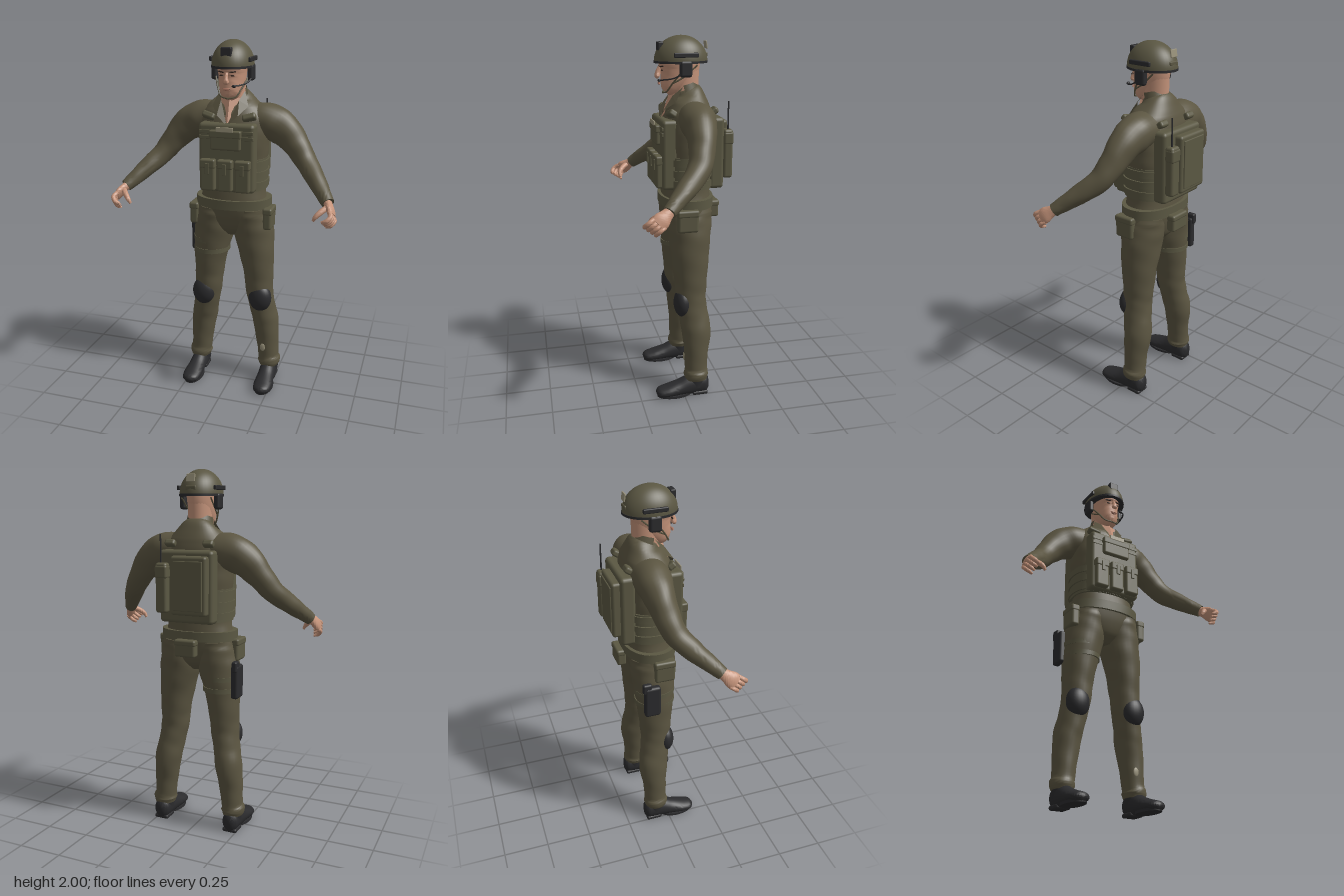
import * as THREE from 'three';
import { toCreasedNormals } from 'three/addons/utils/BufferGeometryUtils.js';
import { RoundedBoxGeometry } from 'three/addons/geometries/RoundedBoxGeometry.js';

const mat = (name, color, side = THREE.FrontSide) =>
  Object.assign(new THREE.MeshStandardMaterial({ color, side }), { name });
const V = (x, y, z) => new THREE.Vector3(x, y, z);

// Smooth skin over elliptical sections [x, y, z, ru, rv] strung along a path.
// ref sets the direction of ru, p < 1 squares the section, w adds cloth folds.
function loft(pts, { seg = 28, steps = 6, ref = V(1, 0, 0), p = 1, w = 0 } = {}) {
  const path = new THREE.CatmullRomCurve3(pts.map(q => V(q[0], q[1], q[2])));
  const radii = new THREE.CatmullRomCurve3(pts.map(q => V(q[3], q[4], 0)), false, 'catmullrom', 0.5);
  const n = pts.length > 2 ? (pts.length - 1) * steps : 1;
  const pos = [], index = [];
  const pw = c => Math.sign(c) * Math.abs(c) ** p;
  for (let i = 0; i <= n; i++) {
    const c = path.getPoint(i / n), r = radii.getPoint(i / n), t = path.getTangent(i / n);
    const u = ref.clone().addScaledVector(t, -ref.dot(t)).normalize();
    const v = t.clone().cross(u);
    for (let j = 0; j < seg; j++) {
      const a = j / seg * Math.PI * 2;
      const k = 1 + w * (Math.sin(2 * a + i * 1.1) + Math.sin(3 * a - i * 0.7));
      const q = c.clone().addScaledVector(u, r.x * k * pw(Math.cos(a))).addScaledVector(v, r.y * k * pw(Math.sin(a)));
      pos.push(q.x, q.y, q.z);
      if (i < n) {
        const A = i * seg + j, B = i * seg + (j + 1) % seg;
        index.push(A, B, B + seg, A, B + seg, A + seg);
      }
    }
  }
  for (const [i, end] of [[0, false], [n, true]]) {
    const c = path.getPoint(i / n), m = pos.length / 3;
    pos.push(c.x, c.y, c.z);
    for (let j = 0; j < seg; j++) {
      const A = i * seg + j, B = i * seg + (j + 1) % seg;
      if (end) index.push(m, A, B); else index.push(m, B, A);
    }
  }
  const g = new THREE.BufferGeometry();
  g.setAttribute('position', new THREE.Float32BufferAttribute(pos, 3));
  g.setIndex(index);
  return toCreasedNormals(g, 1.0);
}

export function createModel() {
  const root = new THREE.Group();
  root.name = 'soldier';
  const cloth = mat('olive cloth', 0x5b5541, THREE.DoubleSide);
  const gear = mat('olive gear', 0x5b5843);
  const helmetMat = mat('helmet olive', 0x5a5642);
  const black = mat('black', 0x2b2b2d);
  const skin = mat('skin', 0xc4937a, THREE.DoubleSide);
  const lip = mat('lips', 0xa87562);
  const hair = mat('dark brown', 0x33261f);
  const tan = mat('tan patch', 0x98917a);

  const add = (name, geo, m, x = 0, y = 0, z = 0) => {
    const mesh = new THREE.Mesh(geo, m);
    mesh.name = name;
    mesh.position.set(x, y, z);
    root.add(mesh);
    return mesh;
  };
  const box = (name, m, w, h, d, x, y, z, r = 0.012) =>
    add(name, new RoundedBoxGeometry(w, h, d, 2, Math.min(r, w / 2.1, h / 2.1, d / 2.1)), m, x, y, z);
  const ball = (name, m, rx, ry, rz, x, y, z) =>
    add(name, new THREE.SphereGeometry(1, 24, 16), m, x, y, z).scale.set(rx, ry, rz);
  const cord = (name, m, r, ...pts) =>
    add(name, new THREE.TubeGeometry(new THREE.CatmullRomCurve3(pts.map(q => V(...q))), 16, r, 6), m);
  const band = (name, m, y0, y1, rx, rz, x = 0, z = -0.055, p = 1) =>
    add(name, loft([[x, y0, z, rx, rz], [x, y1, z, rx, rz]], { p, seg: 40 }), m);

  // Shirt and pelvis
  add('shirt', loft([[0, 1.1, -.055, .195, .135], [0, 1.2, -.055, .178, .128], [0, 1.3, -.06, .178, .13],
    [0, 1.4, -.06, .188, .14], [0, 1.5, -.06, .196, .14], [0, 1.58, -.065, .194, .13],
    [0, 1.64, -.07, .165, .112], [0, 1.69, -.07, .11, .085], [0, 1.725, -.06, .068, .066]], { p: .9, w: .004, seg: 40 }), cloth);
  add('hips', loft([[0, 1.12, -.055, .205, .138], [0, 1.04, -.055, .205, .124], [0, .97, -.055, .14, .1],
    [0, .925, -.055, .05, .06]], { p: .9 }), cloth);
  const collar = add('collar', new THREE.CylinderGeometry(.069, .082, .07, 24, 1, true, Math.PI * .42, Math.PI * 1.16), cloth, 0, 1.715, -.055);
  collar.rotation.x = 0.25;

  // Open neck and lapels
  const flat = (name, m, pts, tris) => {
    const g = new THREE.BufferGeometry();
    g.setAttribute('position', new THREE.Float32BufferAttribute(pts.flat(), 3));
    g.setIndex(tris);
    add(name, g.toNonIndexed(), m).geometry.computeVertexNormals();
  };
  flat('openChest', skin, [[-.06, 1.7, .002], [0, 1.56, .083], [.06, 1.7, .002], [0, 1.7, .034]], [0, 1, 3, 1, 2, 3]);
  add('neck', loft([[0, 1.58, -.055, .065, .07], [0, 1.7, -.052, .063, .073], [0, 1.84, -.05, .064, .08]]), skin);

  // Head
  add('head', loft([[0, 1.706, .052, .026, .03], [0, 1.722, .038, .048, .052], [0, 1.75, .016, .06, .076],
    [0, 1.785, -.006, .068, .096], [0, 1.825, -.02, .073, .108], [0, 1.87, -.022, .077, .112], [0, 1.93, -.025, .068, .1]]), skin);
  add('nose', loft([[0, 1.838, .084, .008, .01], [0, 1.81, .094, .01, .014], [0, 1.79, .096, .017, .015], [0, 1.783, .09, .01, .008]]), skin);
  ball('upperLip', lip, .022, .004, .006, 0, 1.757, .089);
  ball('lowerLip', lip, .018, .004, .006, 0, 1.75, .088);

  // Helmet
  const dome = add('helmet', new THREE.SphereGeometry(1, 40, 16, 0, Math.PI * 2, 0, Math.PI / 2), helmetMat, 0, 1.868, -.03);
  dome.scale.set(.112, .132, .143);
  band('helmetRim', black, 1.858, 1.87, .114, .145, 0, -.03);
  box('frontMount', black, .058, .048, .03, 0, 1.943, .083, .006);
  box('rearPlate', tan, .05, .04, .008, 0, 1.95, -.165, .003).rotation.x = .15;
  box('rearClip', helmetMat, .06, .022, .02, 0, 1.9, -.16, .006);
  cord('microphoneBoom', black, .004, [.11, 1.81, -.02], [.095, 1.785, .03], [.07, 1.776, .08], [.045, 1.773, .095]);
  ball('microphone', black, .012, .008, .008, .043, 1.772, .096);

  // Vest, front
  box('frontPlate', gear, .31, .375, .085, 0, 1.388, .06, .02);
  box('adminPouch', gear, .17, .1, .04, 0, 1.485, .104);
  box('adminFlap', gear, .176, .04, .04, 0, 1.522, .107, .008);
  box('namePatch', tan, .095, .026, .008, 0, 1.548, .125, .003);
  for (const y of [1.5, 1.53]) box('webbing', gear, .3, .02, .01, 0, y, .1, .003);
  for (const x of [-.097, 0, .097]) {
    box('magazinePouch', gear, .082, .17, .045, x, 1.295, .11);
    box('magazineFlap', gear, .086, .05, .046, x, 1.36, .113, .01);
    box('pouchTab', gear, .022, .06, .008, x, 1.335, .137, .003);
  }

  // Vest, sides and back
  band('cummerbund', gear, 1.2, 1.375, .187, .147, 0, -.06, .85);
  for (const y of [1.215, 1.272, 1.33]) band('sideStrap', gear, y, y + .036, .195, .152, 0, -.06, .85);
  box('backPlate', gear, .31, .385, .08, 0, 1.39, -.195, .02);
  box('backPack', gear, .205, .31, .055, -.033, 1.4, -.25, .015);
  box('backPackPanel', gear, .165, .26, .01, -.033, 1.4, -.279, .004);
  box('radio', gear, .066, .265, .052, .122, 1.385, -.258, .015);
  box('radioFlap', gear, .07, .07, .054, .122, 1.47, -.26, .012);
  add('antenna', new THREE.CylinderGeometry(.004, .005, .18, 8), black, .13, 1.575, -.26);

  // Belt
  band('belt', gear, 1.095, 1.148, .215, .147, 0, -.055, .9);
  box('rearPouch', gear, .12, .095, .05, .01, 1.06, -.21);
  box('rearPouchFlap', gear, .126, .035, .052, .01, 1.09, -.212);

  // Paired parts
  for (const s of [1, -1]) {
    flat('lapel', cloth, [[s * .068, 1.735, -.025], [s * .1, 1.66, .02], [s * .058, 1.615, .078],
      [0, 1.562, .087], [s * .05, 1.69, .026]], [0, 1, 4, 1, 2, 4, 2, 3, 4]);
    add('sleeve', loft([[s * .1, 1.58, -.075, .095, .09], [s * .2, 1.567, -.078, .096, .098], [s * .28, 1.524, -.074, .079, .09],
      [s * .35, 1.45, -.06, .068, .071], [s * .41, 1.372, -.03, .061, .059], [s * .475, 1.303, .04, .053, .051],
      [s * .53, 1.245, .11, .042, .041], [s * .566, 1.207, .155, .034, .034]], { ref: V(0, 0, 1), w: .011 }), cloth);

    // Hand
    add('palm', loft([[s * .558, 1.215, .145, .026, .024], [s * .574, 1.197, .17, .032, .021],
      [s * .588, 1.178, .195, .043, .02], [s * .598, 1.16, .217, .041, .015]], { ref: V(s * .2, -.6, -.75) }), skin);
    for (let k = 0; k < 4; k++) {
      const x = .587 + k * .005, y = 1.185 - k * .013, z = .233 - k * .017, r = .0125 - k * .0006;
      add('finger', loft([[s * x, y, z, r, r], [s * (x + .01), y - .016, z + .026, r, r],
        [s * (x - .008), y - .037, z + .043, r, r], [s * (x - .032), y - .046, z + .04, r * .6, r * .6]], { seg: 12 }), skin);
    }
    add('thumb', loft([[s * .57, 1.195, .185, .016, .016], [s * .54, 1.175, .22, .015, .015],
      [s * .518, 1.153, .237, .012, .012], [s * .506, 1.132, .238, .007, .007]], { seg: 12, ref: V(0, 0, 1) }), skin);

    // Trouser leg
    add('trouserLeg', loft([[s * .105, 1.09, -.055, .1, .125], [s * .107, 1.04, -.055, .108, .125], [s * .117, .95, -.055, .115, .118],
      [s * .137, .82, -.053, .1, .106], [s * .15, .68, -.055, .085, .092], [s * .156, .58, -.055, .079, .085],
      [s * .172, .48, -.066, .074, .083], [s * .19, .38, -.08, .075, .083], [s * .204, .25, -.076, .066, .068],
      [s * .212, .15, -.075, .06, .065], [s * .216, .125, -.074, .067, .07], [s * .216, .095, -.074, .057, .064]], { w: .009 }), cloth);

    // Knee pad
    ball('kneePad', black, .067, .083, .05, s * .172, .552, -.004);

    // Boot, flattened on the ground
    const boot = loft([[s * .217, .06, -.143, .028, .04], [s * .217, .06, -.125, .044, .06], [s * .217, .058, -.05, .048, .062],
      [s * .218, .045, .02, .05, .045], [s * .22, .034, .09, .054, .033], [s * .22, .026, .14, .044, .026],
      [s * .22, .02, .157, .02, .014]]);
    const bp = boot.attributes.position;
    for (let i = 0; i < bp.count; i++) bp.setY(i, Math.max(bp.getY(i), .006));
    add('boot', boot, black);
    const sole = add('sole', new THREE.CylinderGeometry(1, 1, .014, 32), black, s * .219, .009, .055);
    sole.scale.set(.053, 1, .098);
    box('heel', black, .084, .024, .09, s * .217, .012, -.092, .01);
    add('bootShaft', loft([[s * .217, .05, -.075, .048, .058], [s * .216, .12, -.075, .05, .057]]), black);

    // Shoulder buckles
    box('frontBuckle', gear, .075, .035, .045, s * .112, 1.605, .045).rotation.set(-.6, 0, s * .3);
    box('rearBuckle', gear, .06, .035, .04, s * .11, 1.615, -.185).rotation.x = .6;

    // Hip pouch
    box('hipPouch', gear, .05, .12, .115, s * .213, 1.04, -.022, .015);
    box('hipPouchFlap', gear, .054, .04, .12, s * .214, 1.085, -.022);

    // Headset, rails, chin straps and face details
    box('earCup', black, .034, .085, .066, s * .1, 1.832, -.035, .014);
    box('helmetRail', black, .016, .024, .13, s * .107, 1.902, -.035, .005);
    cord('chinStrap', cloth, .0045, [s * .09, 1.81, -.01], [s * .066, 1.755, .03], [s * .04, 1.712, .055], [0, 1.703, .068]);
    cord('rearStrap', cloth, .0045, [s * .085, 1.85, -.1], [s * .08, 1.79, -.03], [s * .066, 1.755, .03]);
    ball('eye', hair, .012, .004, .004, s * .03, 1.823, .078);
    box('eyebrow', hair, .034, .007, .008, s * .032, 1.842, .08, .003).rotation.set(0, s * .35, s * .12);
  }

  // Thigh holster on the right leg, and the shin patch on the left
  box('holster', black, .042, .185, .09, -.242, .878, -.1, .014);
  box('holsterGrip', black, .03, .06, .05, -.245, .965, -.13, .01);
  for (const y of [.81, .875]) band('thighStrap', gear, y, y + .025, .104, .112, -.133, -.054);
  ball('shinPatch', tan, .016, .024, .005, .19, .225, -.009);

  return root;
}
